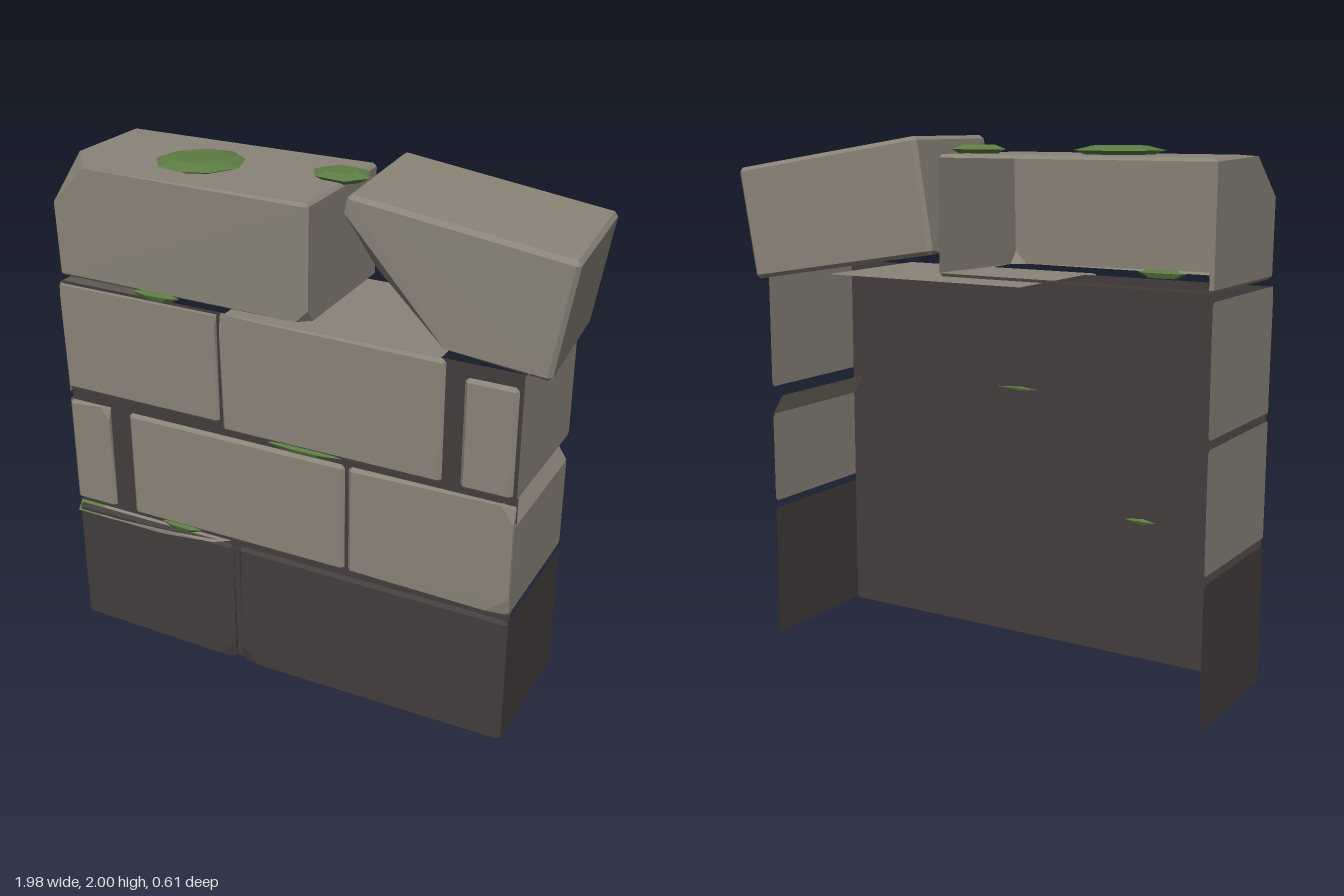
import * as THREE from 'three';
import { ConvexGeometry } from 'three/addons/geometries/ConvexGeometry.js';

const paint = (name, color) => {
  const m = new THREE.MeshStandardMaterial({ color, side: THREE.DoubleSide });
  m.name = name;
  return m;
};

// Bevelled box hull. cuts: { 'sx,sy,sz': [dx, dy, dz] } slices a corner off;
// open: list of directions whose faces are left out.
function block([x0, x1], [y0, y1], [z0, z1], r, cuts = {}, open = []) {
  const pts = [];
  for (const sx of [-1, 1]) for (const sy of [-1, 1]) for (const sz of [-1, 1]) {
    const c = [sx > 0 ? x1 : x0, sy > 0 ? y1 : y0, sz > 0 ? z1 : z0];
    const s = [sx, sy, sz];
    const cut = cuts[s.join()];
    for (let a = 0; a < 3; a++) {
      const p = c.map((v, i) => {
        if (cut) return i === a ? v - s[i] * cut[i] : v - s[i] * r * 0.15;
        return i === a ? v : v - s[i] * r;
      });
      pts.push(new THREE.Vector3(...p));
    }
  }
  const hull = new ConvexGeometry(pts);
  if (!open.length) return hull;
  const pos = hull.attributes.position.array, nor = hull.attributes.normal;
  const kept = [];
  for (let i = 0; i < nor.count; i += 3) {
    const n = new THREE.Vector3().fromBufferAttribute(nor, i);
    if (open.some(d => n.dot(d) > 0.9)) continue;
    kept.push(...pos.slice(i * 3, i * 3 + 9));
  }
  const g = new THREE.BufferGeometry();
  g.setAttribute('position', new THREE.Float32BufferAttribute(kept, 3));
  g.computeVertexNormals();
  return g;
}

// Flat convex polygon, corners counter-clockwise from outside
function polygon(points) {
  const v = [];
  for (let i = 1; i < points.length - 1; i++) v.push(...points[0], ...points[i], ...points[i + 1]);
  const g = new THREE.BufferGeometry();
  g.setAttribute('position', new THREE.Float32BufferAttribute(v, 3));
  g.computeVertexNormals();
  return g;
}

export function createModel() {
  const group = new THREE.Group();
  const stone = paint('warm grey stone', 0x8a8378);
  const dark = paint('dark stone and mortar', 0x443d3d);
  const moss = paint('moss green', 0x5d7c43);
  const add = (name, geometry, material) => {
    const mesh = new THREE.Mesh(geometry, material);
    mesh.name = name;
    group.add(mesh);
    return mesh;
  };
  const L = -0.985, R = 0.855, BACK = -0.255, FRONT = 0.3, JOINT = 0.272;
  const behind = new THREE.Vector3(0, 0, -1), below = new THREE.Vector3(0, -1, 0);

  // Mortar sheet behind the brick faces
  add('mortar', polygon([[L, 0.005, JOINT], [R, 0.005, JOINT], [R, 1.485, JOINT], [L, 1.485, JOINT]]), dark);

  // Brick faces, course by course
  const bricks = [
    ['baseBrick', L, -0.265, 0.005, 0.535, dark, { '1,-1,1': [0.08, 0.08, 0.02] }],
    ['baseBrick', -0.24, R, 0.005, 0.535, dark, { '-1,-1,1': [0.08, 0.08, 0.02] }],
    ['lowerBrick', L, -0.8, 0.56, 1.0, stone, { '1,1,1': [0.04, 0.05, 0.02] }],
    ['lowerBrick', -0.71, 0.21, 0.56, 1.0, stone, {}],
    ['lowerBrick', 0.225, R, 0.56, 1.0, stone, { '1,1,1': [0.05, 0.07, 0.02], '1,-1,1': [0.09, 0.07, 0.02] }],
    ['upperBrick', L, -0.305, 1.05, 1.48, stone, { '-1,1,1': [0.005, 0.04, 0.02], '1,1,1': [0.01, 0.04, 0.02] }],
    ['upperBrick', -0.29, 0.58, 1.025, 1.49, stone, { '-1,1,1': [0.05, 0.07, 0.02] }],
    ['upperBrick', 0.65, 0.84, 1.025, 1.44, stone, {}],
  ];
  for (const [name, x0, x1, y0, y1, mat, cuts] of bricks)
    add(name, block([x0, x1], [y0, y1], [JOINT + 0.001, FRONT], 0.013, cuts, [behind]), mat);

  // Return faces at both ends of each course
  for (const [x, s] of [[L, -1], [R, 1]]) {
    for (const [y0, y1, mat] of [[0.01, 0.535, dark], [0.565, 1.0, stone], [1.03, 1.485, stone]]) {
      const chamfered = s > 0 && mat === stone && y0 < 1;
      const top = chamfered ? 0.92 : y1;
      const b = 0.012, f = FRONT - 0.012;
      const side = [[x, y0, BACK + b], [x, y0 + b, BACK], [x, top - b, BACK], [x, top, BACK + b],
        [x, top, f], [x, y0, f]];
      add('endFace', polygon(s > 0 ? side : side.reverse()), mat);
      if (chamfered) {
        add('endChamfer', polygon([[x, top, f], [x, top, BACK], [x - 0.05, y1, BACK], [x - 0.05, y1, f]]), mat);
      }
    }
  }

  // Flat top of the middle upper brick
  add('ledge', polygon([[-0.27, 1.49, 0.29], [0.56, 1.49, 0.29], [0.56, 1.49, BACK], [-0.27, 1.49, BACK]]), stone);

  // Worn sloping edge on the left base brick, mossy at its end
  add('wornEdge', polygon([[-0.87, 0.505, 0.304], [-0.58, 0.505, 0.304], [-0.35, 0.53, 0.304],
    [-0.28, 0.541, 0.275], [-0.87, 0.541, 0.275]]), stone);
  add('mossyEdge', polygon([[L, 0.505, 0.304], [-0.87, 0.505, 0.304], [-0.87, 0.541, 0.275], [L, 0.541, 0.275]]), moss);

  // Capstone, open behind and below
  add('capstone', block([L, 0.065], [1.51, 1.94], [-0.26, 0.285], 0.012,
    { '-1,1,1': [0.145, 0.145, 0.18], '1,-1,1': [0.05, 0.05, 0.04] }, [behind, below]), stone);

  // Tilted loose block with a large broken corner
  const loose = add('looseBlock', block([-0.395, 0.395], [-0.213, 0.213], [-0.275, 0.275], 0.015,
    { '-1,-1,1': [0.42, 0.36, 0.46] }), stone);
  loose.position.set(0.55, 1.73, 0);
  loose.rotation.set(0, 0.08, -0.16, 'YZX');

  // Moss tufts: low irregular mounds [x, y, z, half width, height, half depth, sides]
  const tufts = [
    [-0.49, 1.935, 0.055, 0.17, 0.035, 0.17, 9],
    [0.03, 1.935, -0.035, 0.125, 0.035, 0.09, 6],
    [-0.56, 1.492, 0.283, 0.11, 0.028, 0.022, 7],
    [0.04, 1.008, 0.285, 0.16, 0.022, 0.02, 7],
    [-0.5, 0.543, 0.285, 0.1, 0.024, 0.022, 7],
  ];
  tufts.forEach(([x, y, z, w, h, d, n], k) => {
    const pts = [];
    for (let i = 0; i < n; i++) {
      const a = (i / n) * Math.PI * 2 + 0.1;
      const q = 1 - 0.1 * Math.abs(Math.sin(i * 2.3 + k));
      const c = Math.cos(a) * w * q, s = Math.sin(a) * d * q;
      pts.push(new THREE.Vector3(x + c * 0.6, y - 0.004, z + s * 0.6),
        new THREE.Vector3(x + c, y + h * 0.55, z + s),
        new THREE.Vector3(x + c * 0.6, y + h, z + s * 0.6));
    }
    add('mossTuft', new ConvexGeometry(pts), moss);
  });

  return group;
}
